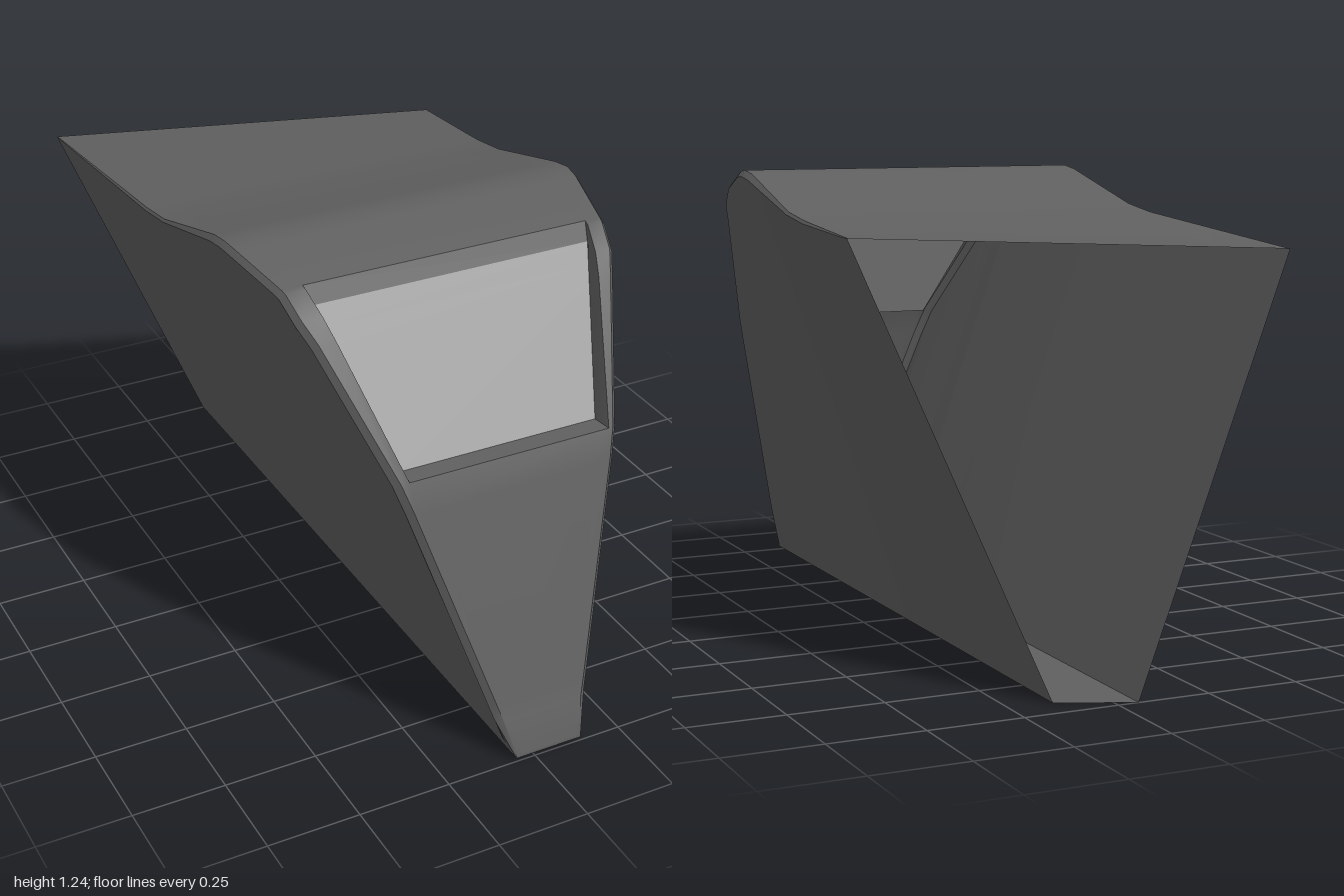
import * as THREE from 'three';
import { toCreasedNormals } from 'three/addons/utils/BufferGeometryUtils.js';

const V = (x, y, z) => new THREE.Vector3(x, y, z);
const lerp = THREE.MathUtils.lerp;

// Ridge of the shell from the front foot to the rear: [z, y]
const PROFILE = [
  [1, 0.02], [0.965, 0.11], [0.95, 0.165], [0.815, 0.7], [0.79, 0.775], [0.59, 1.09],
  [0.55, 1.14], [0.49, 1.188], [0.475, 1.193], [0.3, 1.232], [0.25, 1.237], [0.19, 1.228],
  [-0.12, 1.142], [-0.24, 1.125], [-0.92, 1.07],
];
const WIN_LOW = 4, WIN_TOP = 8; // rows bounding the window opening

// Outline seen from above: [z, left x, right x]
const OUTLINE = [
  [1, -0.055, 0.135], [0.95, -0.11, 0.185], [0.8, -0.295, 0.33],
  [0.55, -0.445, 0.455], [0.27, -0.51, 0.51], [-2, -0.51, 0.51],
];

function edgesAt(z) {
  const i = OUTLINE.findIndex((o, k) => k > 0 && z >= o[0]);
  const a = OUTLINE[i - 1], b = OUTLINE[i];
  const t = (z - a[0]) / (b[0] - a[0]);
  return [lerp(a[1], b[1], t), lerp(a[2], b[2], t)];
}

// One cross-section: up the one side, across the top, down the other side
function section([z, y], i) {
  const rear = i === PROFILE.length - 1;
  const [xa, xb] = edgesAt(z);
  const a = V(xa, y, z);
  const b = rear ? V(xb, 1.1, -0.55) : V(xb, y, z);
  const footY = (s) => 0.005 * (s + 1);
  const footA = V(-0.055, rear ? 0 : footY(z), rear ? -1 : z);
  const footB = V(0.135, rear ? 0 : footY(z), rear ? -0.92 : z);

  // small softened edge, fading out at the foot and at the rear
  const r = i === 0 || rear ? 0.002 : z < 0 ? 0.008 : 0.018;
  const soften = (p, x) => p.clone().add(V(x, 0.4, 0).sub(p).setLength(r));
  const sideA = i === 0 ? a.clone().lerp(footA, 0.2) : soften(a, -0.2);
  const sideB = i === 0 ? b.clone().lerp(footB, 0.2) : soften(b, 0.26);
  const topA = a.clone().lerp(b, r / (xb - xa));
  const topB = b.clone().lerp(a, r / (xb - xa));

  // window columns
  let wa = a.clone().lerp(b, 0.1), wb = a.clone().lerp(b, 0.9);
  if (i >= WIN_LOW && i <= WIN_TOP) {
    const t = (y - 0.775) / 0.418;
    wa = V(lerp(-0.26, -0.388, t), y, z);
    wb = V(lerp(0.305, 0.408, t), y, z);
  }
  return [footA, sideA, topA, wa, wb, topB, sideB, footB];
}

function meshFromQuads(name, quads, color, crease = 0.65) {
  const pos = [];
  for (const [a, b, c, d] of quads)
    for (const p of [a, b, c, a, c, d]) pos.push(p.x, p.y, p.z);
  const geo = new THREE.BufferGeometry();
  geo.setAttribute('position', new THREE.Float32BufferAttribute(pos, 3));
  const mat = new THREE.MeshStandardMaterial({ color, side: THREE.DoubleSide });
  const mesh = new THREE.Mesh(toCreasedNormals(geo, crease), mat);
  mesh.name = name;
  return mesh;
}

export function createModel() {
  const group = new THREE.Group();
  group.name = 'wedgeHousing';
  const rows = PROFILE.map(section);
  const n = rows[0].length;

  // Shell, open at the rear, with an opening left for the window
  const shell = [];
  for (let i = 0; i < rows.length - 1; i++)
    for (let j = 0; j < n; j++) {
      if (j === 3 && i >= WIN_LOW && i < WIN_TOP) continue;
      const k = (j + 1) % n;
      shell.push([rows[i][j], rows[i][k], rows[i + 1][k], rows[i + 1][j]]);
    }
  // narrow closing strip at the front foot
  const f = rows[0];
  for (let j = 1; j < n - 1; j++) shell.push([f[0], f[j + 1], f[j], f[j]]);
  group.add(meshFromQuads('shell', shell, 0x606060));

  // Sunken window pane: a flat sheet behind the opening
  const opening = rows.slice(WIN_LOW, WIN_TOP + 1).map((r) => [r[3], r[4]]);
  const pane = opening.map(([a, b]) => {
    const t = (a.y - 0.775) / 0.418;
    const y = lerp(0.775, 1.147, t), z = lerp(0.735, 0.5, t);
    return [V(a.x + 0.006, y, z), V(b.x - 0.006, y, z)];
  });
  const sheet = [];
  for (let i = 0; i < pane.length - 1; i++)
    sheet.push([pane[i][0], pane[i][1], pane[i + 1][1], pane[i + 1][0]]);
  group.add(meshFromQuads('windowPane', sheet, 0x999999));

  // Recess walls joining the opening to the pane
  const loop = (g) => [...g.map((r) => r[0]), ...g.map((r) => r[1]).reverse()];
  const outer = loop(opening), inner = loop(pane);
  const walls = outer.map((p, i) => {
    const k = (i + 1) % outer.length;
    return [p, inner[i], inner[k], outer[k]];
  });
  group.add(meshFromQuads('windowRecess', walls, 0x606060));

  return group;
}
